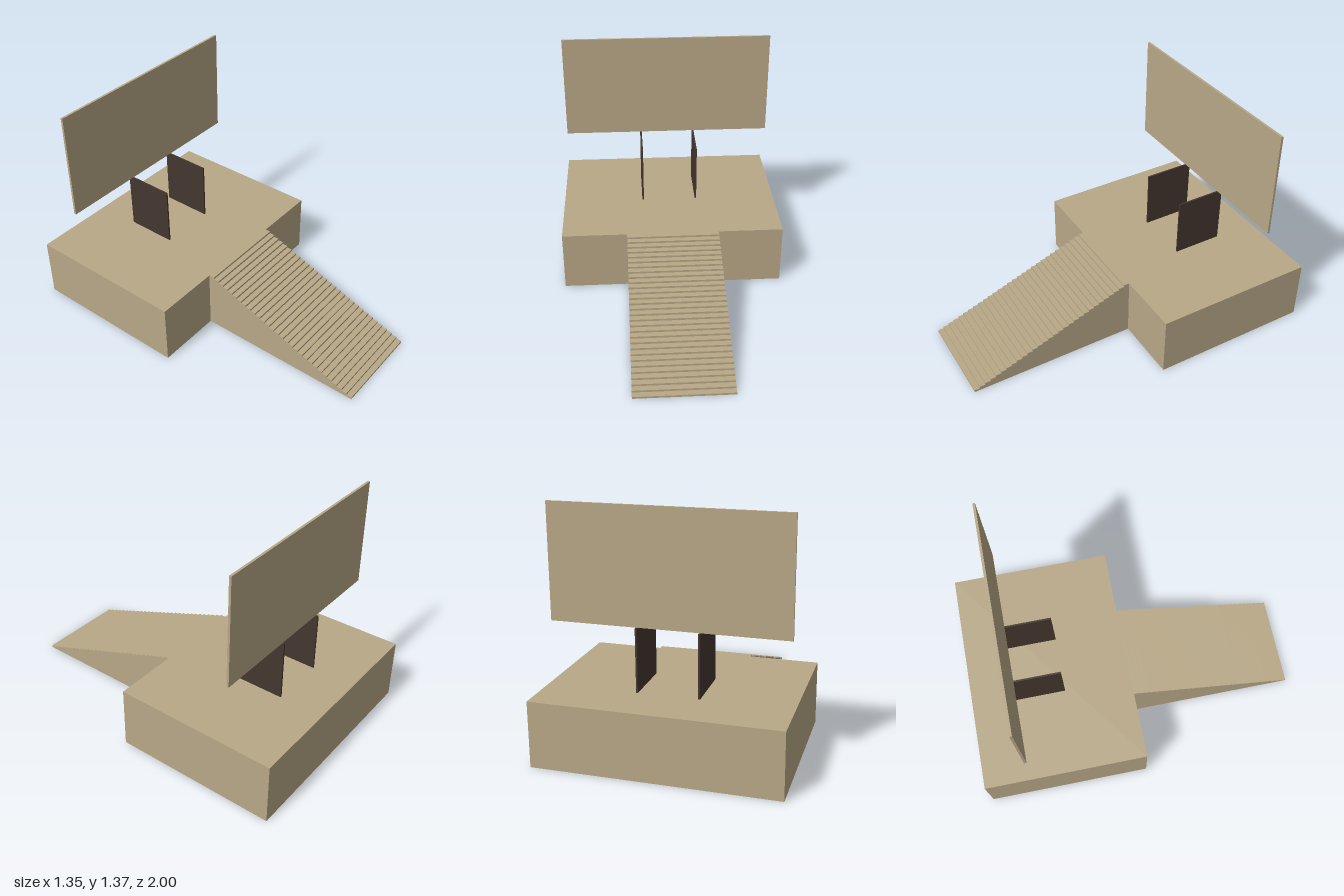
import * as THREE from 'three';

export function createModel() {
  const model = new THREE.Group();
  const stone = new THREE.MeshStandardMaterial({ color: 0xb8a887 });
  stone.name = 'tan stone';
  const dark = new THREE.MeshStandardMaterial({ color: 0x45362f });
  dark.name = 'dark brown';

  // Box given by its bounds
  function box(name, material, [x0, x1], [y0, y1], [z0, z1]) {
    const mesh = new THREE.Mesh(new THREE.BoxGeometry(x1 - x0, y1 - y0, z1 - z0), material);
    mesh.position.set((x0 + x1) / 2, (y0 + y1) / 2, (z0 + z1) / 2);
    mesh.name = name;
    model.add(mesh);
  }

  const deck = 0.37, deckFront = -0.02, panelBase = 0.725;

  box('platform', stone, [-0.675, 0.675], [0, deck], [-1, deckFront]);

  // Supports stand on the deck and carry the panel
  for (const side of [-1, 1]) {
    const x = side * 0.17;
    box(side > 0 ? 'leftSupport' : 'rightSupport', dark,
      [x - 0.005, x + 0.005], [deck, panelBase], [-0.735, -0.43]);
  }
  box('panel', stone, [-0.65, 0.65], [panelBase, 1.365], [-0.72, -0.706]);

  // Staircase: stepped side profile, extruded across its width
  const steps = 30, width = 0.56, front = 1;
  const rise = deck / steps, run = (front - deckFront) / steps;
  const profile = new THREE.Shape();
  profile.moveTo(deckFront, 0);
  profile.lineTo(front, 0);
  for (let i = 0; i < steps; i++) {
    profile.lineTo(front - i * run, (i + 1) * rise);
    profile.lineTo(front - (i + 1) * run, (i + 1) * rise);
  }
  profile.closePath();
  const stairGeometry = new THREE.ExtrudeGeometry(profile, { depth: width, bevelEnabled: false });
  stairGeometry.translate(0, 0, -width / 2).rotateY(-Math.PI / 2);
  const stairs = new THREE.Mesh(stairGeometry, stone);
  stairs.name = 'staircase';
  model.add(stairs);

  return model;
}
